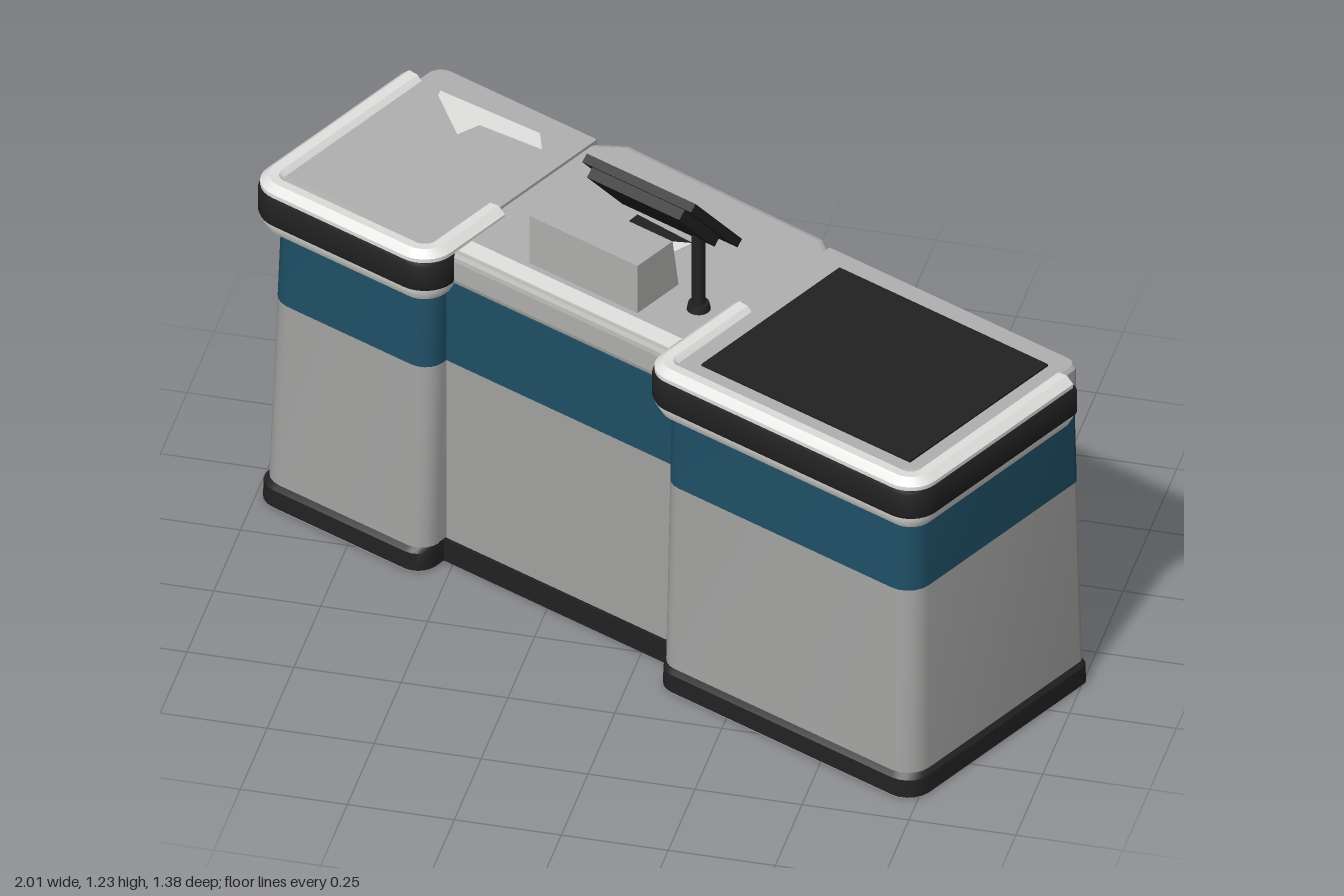
import * as THREE from 'three';
import { toCreasedNormals } from 'three/addons/utils/BufferGeometryUtils.js';

const mat = (name, color) => {
  const m = new THREE.MeshStandardMaterial({ color });
  m.name = name;
  return m;
};

// Skin a stack of closed rings and cap both ends
function loft(rings) {
  const n = rings[0].length, pos = rings.flat(2), idx = [];
  for (let i = 0; i < rings.length - 1; i++) {
    for (let j = 0; j < n; j++) {
      const k = (j + 1) % n;
      const a = i * n + j, b = i * n + k, c = b + n, d = a + n;
      idx.push(a, d, b, b, d, c);
    }
  }
  const last = (rings.length - 1) * n;
  for (let j = 1; j < n - 1; j++) {
    idx.push(0, j, j + 1, last, last + j + 1, last + j);
  }
  const g = new THREE.BufferGeometry();
  g.setAttribute('position', new THREE.Float32BufferAttribute(pos, 3));
  g.setIndex(idx);
  return toCreasedNormals(g, 0.6);
}

// Rounded rectangle ring at height y; radii for (x1,z1), (x0,z1), (x0,z0), (x1,z0)
function rectRing(x0, x1, z0, z1, radii, y) {
  const corners = [[x1, z1, -1, -1], [x0, z1, 1, -1], [x0, z0, 1, 1], [x1, z0, -1, 1]];
  return corners.flatMap(([x, z, sx, sz], c) => {
    const r = radii[c];
    return Array.from({ length: 6 }, (_, i) => {
      const a = (c + i / 5) * Math.PI / 2;
      return [x + sx * r + r * Math.cos(a), y, z + sz * r + r * Math.sin(a)];
    });
  });
}

// U-shaped path around the front of a block: base points with outward normals
function uPath(x0, x1, zStart, zFront, zEnd, r) {
  const path = [[x1, zStart, 1, 0]];
  [[x1 - r, 0], [x0 + r, 1]].forEach(([cx, q]) => {
    for (let i = 0; i <= 8; i++) {
      const a = (q + i / 8) * Math.PI / 2, nx = Math.cos(a), nz = Math.sin(a);
      path.push([cx + r * nx, zFront - r + r * nz, nx, nz]);
    }
  });
  path.push([x0, zEnd, -1, 0]);
  return path;
}

// Sweep a section of [inset, height] pairs along a path
const sweep = (path, section) =>
  loft(path.map(([x, z, nx, nz]) => section.map(([d, y]) => [x - nx * d, y, z - nz * d])));

// Thin horizontal plate from [x, z] corners
const plate = (points, y, thickness) =>
  new THREE.ExtrudeGeometry(new THREE.Shape(points.map(([x, z]) => new THREE.Vector2(x, -z))),
    { depth: thickness, bevelEnabled: false }).rotateX(-Math.PI / 2).translate(0, y, 0);

export function createModel() {
  const grey = mat('body grey', 0xa3a4a2);
  const topGrey = mat('worktop grey', 0xb0b1af);
  const light = mat('rail off-white', 0xe2e2e0);
  const blue = mat('petrol blue', 0x1f4f66);
  const black = mat('black', 0x222222);

  const model = new THREE.Group();
  model.name = 'checkoutCounter';
  const counter = new THREE.Group();
  counter.name = 'counter';
  counter.rotation.y = -0.438;
  model.add(counter);

  const add = (name, geometry, material, parent = counter) => {
    const m = new THREE.Mesh(geometry, material);
    m.name = name;
    parent.add(m);
    return m;
  };
  const box = (name, x0, x1, y0, y1, z0, z1, material) =>
    add(name, new THREE.BoxGeometry(x1 - x0, y1 - y0, z1 - z0), material)
      .position.set((x0 + x1) / 2, (y0 + y1) / 2, (z0 + z1) / 2);

  // Two pedestals, tapering slightly on their outer sides
  const blocks = [
    { name: 'left', x0: 0.21, x1: 0.957, inner: 0, radii: [0.06, 0.05, 0.005, 0.025] },
    { name: 'right', x0: -0.957, x1: -0.47, inner: 1, radii: [0.05, 0.06, 0.035, 0.005] },
  ];
  for (const b of blocks) {
    const ring = (y, out = 0) => {
      const t = 0.02 * Math.min(y, 0.8) / 0.8 - out;
      return rectRing(b.x0 + (b.inner ? t : 0), b.x1 - (b.inner ? 0 : t),
        -0.328 + t * 0.3, 0.3 - t * 1.2, b.radii, y);
    };
    add(b.name + 'Underside', loft([ring(0, 0.008), ring(0.002, 0.008)]), grey);
    add(b.name + 'Plinth', loft([ring(0.002, 0.008), ring(0.048, 0.008), ring(0.062, -0.002)]), black);
    add(b.name + 'Pedestal', loft([ring(0.06), ring(0.55)]), grey);
    add(b.name + 'BlueBand', loft([ring(0.55), ring(0.77)]), blue);
    add(b.name + 'TopSlab', loft([ring(0.77), ring(0.77, 0.004), ring(0.86, 0.004), ring(0.868, -0.004)]),
      topGrey);
    // Liner of the knee space, running down to the floor
    const w = b.inner ? b.x1 : b.x0;
    box(b.name + 'KneeWall', w - 0.004, w + 0.004, 0.001, 0.55, -0.329, 0.2, grey);
    box(b.name + 'KneeWallBand', w - 0.004, w + 0.004, 0.55, 0.645, -0.322, 0.2, blue);
  }

  // Middle section: front panel, apron over the knee space and worktop
  box('frontPanel', -0.48, 0.22, 0, 0.55, 0.19, 0.22, grey);
  box('frontPanelBand', -0.48, 0.22, 0.55, 0.77, 0.19, 0.22, blue);
  box('frontPanelPlinth', -0.48, 0.22, 0.001, 0.06, 0.205, 0.228, black);
  box('apron', -0.48, 0.22, 0.645, 0.77, -0.322, 0.19, blue);

  const plan = new THREE.Shape([
    [-0.49, -0.23], [0.23, -0.23], [0.23, 0.31], [0.17, 0.355], [-0.41, 0.365], [-0.49, 0.31],
  ].map(([x, y]) => new THREE.Vector2(x, y)));
  const top = new THREE.ExtrudeGeometry(plan, {
    depth: 0.05, bevelThickness: 0.02, bevelSize: 0.02, bevelOffset: -0.02, bevelSegments: 3,
  });
  top.rotateX(-Math.PI / 2).translate(0, 0.79, 0);
  add('worktop', top, topGrey);
  box('worktopFrontTrim', -0.44, 0.175, 0.857, 0.862, 0.165, 0.212, light);

  // Wrap-around bumpers with a black impact strip that shows at the open ends
  const rail = [[0.062, 0.866], [0.048, 0.88], [0.024, 0.882], [0.005, 0.866],
    [0.005, 0.775], [0.022, 0.745], [0.062, 0.745]];
  const strip = [[0.05, 0.858], [0.004, 0.856], [0, 0.846], [0, 0.79], [0.004, 0.78], [0.05, 0.778]];
  const bumpers = {
    left: (end) => uPath(0.175, 0.985, -0.25 - end, 0.322, -0.01, 0.075),
    right: (end) => uPath(-0.985, -0.44, 0.04, 0.316, -0.25 - end, 0.08),
  };
  for (const [name, path] of Object.entries(bumpers)) {
    add(name + 'BumperRail', sweep(path(0), rail), light);
    add(name + 'BumperStrip', sweep(path(0.008), strip), black);
  }

  // Conveyor belt
  box('conveyorBelt', 0.282, 0.892, 0.866, 0.873, -0.268, 0.228, black);

  // Two-tone scanner inlay on the worktop, and the worn patch in the tray
  add('scannerInlayDark',
    plate([[-0.215, -0.153], [-0.21, -0.045], [-0.046, -0.144]], 0.859, 0.004), black);
  add('scannerInlayLight',
    plate([[-0.21, -0.045], [-0.066, -0.046], [-0.046, -0.144]], 0.859, 0.004), light);
  add('trayPatch', plate([[-0.866, -0.245], [-0.584, -0.256], [-0.541, -0.21],
    [-0.71, -0.196], [-0.726, -0.134], [-0.858, -0.227]], 0.867, 0.003), light);

  // Cash unit with a sloping black rear face
  const body = new THREE.BoxGeometry(0.315, 0.132, 0.148).translate(-0.1275, 0.924, 0.074);
  const bp = body.attributes.position;
  for (let i = 0; i < bp.count; i++) {
    if (bp.getZ(i) < 0.01 && bp.getY(i) > 0.9) bp.setZ(i, 0.022);
  }
  body.computeVertexNormals();
  add('cashUnit', body, topGrey);
  const face = add('cashUnitFace', new THREE.BoxGeometry(0.301, 0.118, 0.006), black);
  face.position.set(-0.1275, 0.924, 0.01);
  face.rotation.x = 0.165;

  // Display on a pole, tilted towards the cashier
  const pole = add('displayPole', new THREE.CylinderGeometry(0.016, 0.016, 0.25, 16), black);
  pole.position.set(0.126, 0.98, 0.046);
  const foot = add('displayFoot', new THREE.CylinderGeometry(0.024, 0.028, 0.02, 16), black);
  foot.position.set(0.126, 0.868, 0.046);
  const display = new THREE.Group();
  display.name = 'display';
  display.position.set(0.037, 1.131, 0.068);
  display.rotation.x = -0.84;
  counter.add(display);
  add('displayPanel', new THREE.BoxGeometry(0.318, 0.022, 0.25), black, display);
  add('displayBack', new THREE.BoxGeometry(0.27, 0.03, 0.19), black, display)
    .position.set(0, -0.022, 0.02);

  return model;
}
